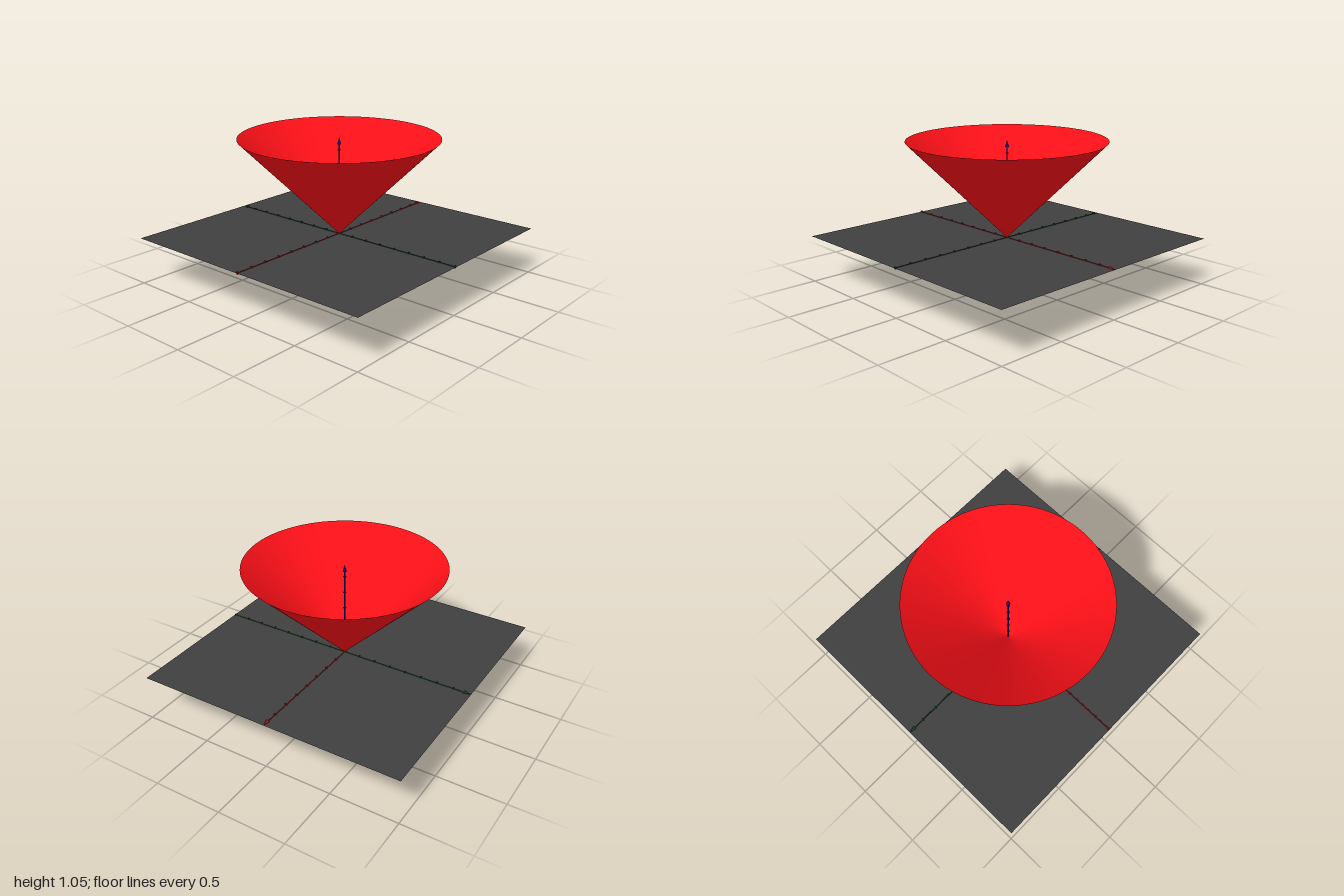
import * as THREE from 'three';

const ORIGIN_Y = 0.343, TOP = 0.712, BOTTOM = 0.343;

function makeMaterial(color, side = THREE.FrontSide) {
  return new THREE.MeshStandardMaterial({ color, side });
}

function addMesh(parent, name, geometry, material, y = 0) {
  const mesh = new THREE.Mesh(geometry, material);
  mesh.name = name;
  mesh.position.y = y;
  parent.add(mesh);
  return mesh;
}

// Thin rod along +y with an arrowhead and evenly spaced tick discs
function makeAxis(name, color, from, to) {
  const axis = new THREE.Group();
  axis.name = name;
  const material = makeMaterial(color);
  const head = 0.05, step = 0.124;
  const length = to - head - from;
  addMesh(axis, 'axisRod', new THREE.CylinderGeometry(0.004, 0.004, length, 12), material, from + length / 2);
  addMesh(axis, 'arrowhead', new THREE.ConeGeometry(0.014, head, 16), material, to - head / 2);
  const tick = new THREE.CylinderGeometry(0.011, 0.011, 0.004, 12);
  for (let i = Math.ceil(from / step); i * step < to - head; i++) {
    if (i !== 0) addMesh(axis, 'tick', tick, material, i * step);
  }
  return axis;
}

export function createModel() {
  const model = new THREE.Group();
  model.name = 'doubleConeWithPlane';
  const origin = new THREE.Group();
  origin.name = 'coordinateFrame';
  origin.position.y = ORIGIN_Y;
  model.add(origin);

  // Open conical shells meeting at the apex
  const red = makeMaterial(0xff1018, THREE.DoubleSide);
  const upper = new THREE.CylinderGeometry(TOP, 0, TOP, 96, 1, true);
  const lower = new THREE.CylinderGeometry(0, BOTTOM, BOTTOM, 96, 1, true);
  addMesh(origin, 'upperCone', upper, red, TOP / 2);
  addMesh(origin, 'lowerCone', lower, red, -BOTTOM / 2);

  // Horizontal square plane through the apex
  const square = new THREE.PlaneGeometry(2, 2).rotateX(-Math.PI / 2);
  addMesh(origin, 'plane', square, makeMaterial(0x404040, THREE.DoubleSide));

  // Three coordinate axes
  const xAxis = makeAxis('redAxis', 0x8a1015, -1, 1);
  xAxis.rotation.z = -Math.PI / 2;
  const depthAxis = makeAxis('greenAxis', 0x103a18, -1, 1);
  depthAxis.rotation.x = -Math.PI / 2;
  const upAxis = makeAxis('blueAxis', 0x10108a, -BOTTOM, TOP);
  origin.add(xAxis, depthAxis, upAxis);

  return model;
}
